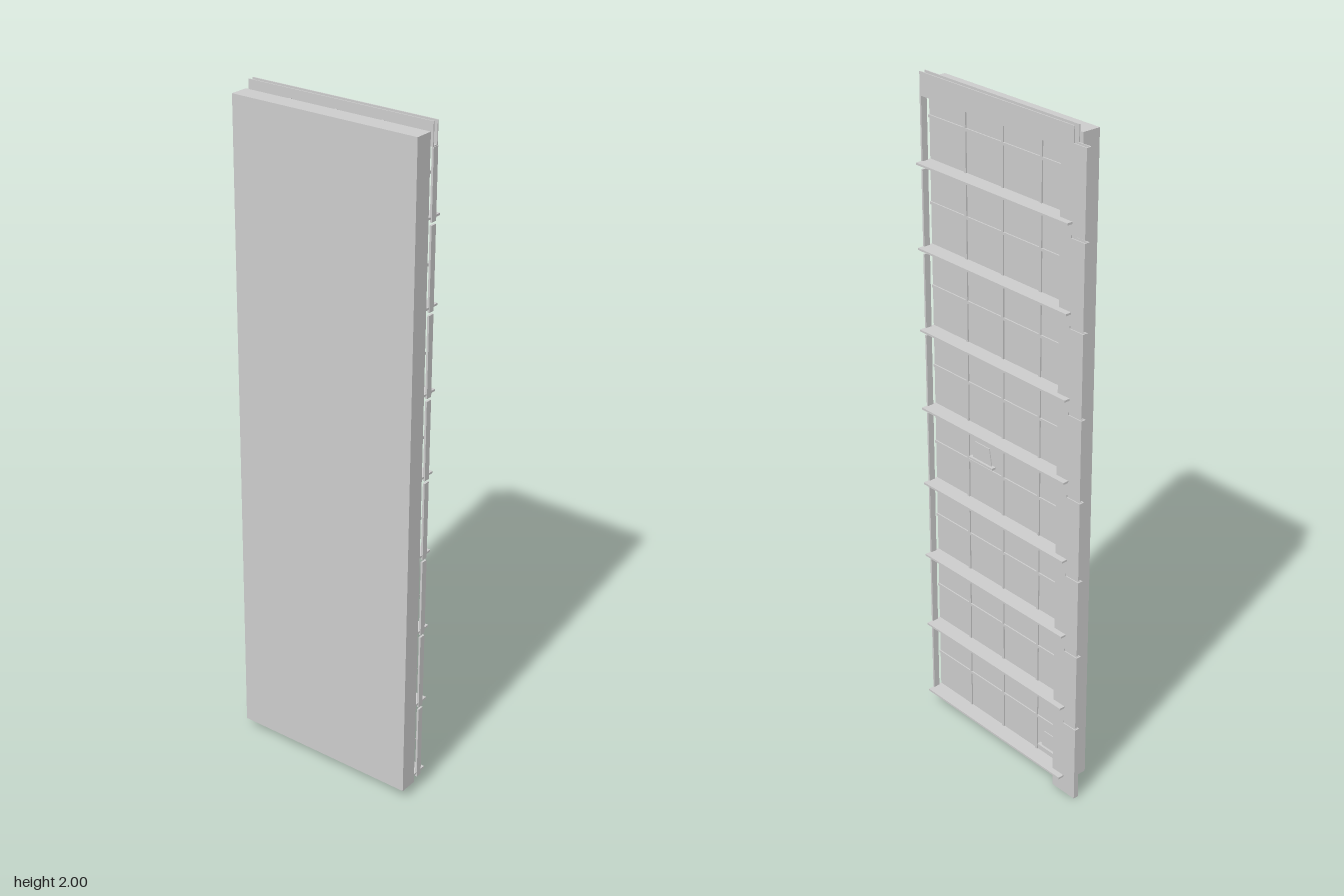
import * as THREE from 'three';

const material = new THREE.MeshStandardMaterial({ color: 0xcccccc, flatShading: true });

// Box given by its minimum and maximum on each axis
function block(parent, name, x0, x1, y0, y1, z0, z1) {
  const mesh = new THREE.Mesh(new THREE.BoxGeometry(x1 - x0, y1 - y0, z1 - z0), material);
  mesh.position.set((x0 + x1) / 2, (y0 + y1) / 2, (z0 + z1) / 2);
  mesh.name = name;
  parent.add(mesh);
  return mesh;
}

function section(parent, name) {
  const group = new THREE.Group();
  group.name = name;
  parent.add(group);
  return group;
}

export function createModel() {
  const model = new THREE.Group();
  model.name = 'wallPanel';
  const L = -0.27, R = 0.313;
  const shelfY = (i) => 0.055 + 0.2425 * i;

  // Solid front slab
  block(model, 'frontSlab', L, R, 0.03, 1.977, -0.003, 0.052);

  // Thin grid of ribs on the back of the slab
  const grid = section(model, 'backGrid');
  for (let i = 1; i < 4; i++) {
    const x = L + ((R - L) * i) / 4;
    block(grid, 'verticalRib', x - 0.004, x + 0.004, 0.03, 1.977, -0.007, -0.003);
  }
  for (let i = 0; i < 8; i++) {
    const y = shelfY(i + 0.5);
    block(grid, 'horizontalRib', L, R, y - 0.004, y + 0.004, -0.007, -0.003);
  }

  // Horizontal shelf fins
  const fins = section(model, 'shelfFins');
  for (let i = 0; i < 8; i++) {
    block(fins, 'shelfFin', L, R, shelfY(i) - 0.003, shelfY(i) + 0.003, -0.052, -0.003);
  }

  // Top rail, a channel open upwards
  const rail = section(model, 'topRail');
  block(rail, 'railBack', L, R, 1.935, 2, -0.034, -0.031);
  block(rail, 'railFront', L, R, 1.935, 2, -0.017, -0.014);
  block(rail, 'railFloor', L, R, 1.935, 1.938, -0.031, -0.017);

  // Side channel in slotted segments on the right edge
  const stud = section(model, 'sideChannel');
  for (let i = 0; i < 8; i++) {
    const y0 = i * 0.245 + (i ? 0.004 : 0), y1 = (i + 1) * 0.245 - 0.004;
    block(stud, 'channelWeb', -0.315, -0.312, y0, y1, -0.034, -0.018);
    block(stud, 'channelFront', -0.312, L, y0, y1, -0.021, -0.018);
    block(stud, 'channelBack', -0.312, -0.265, y0, y1, -0.034, -0.031);
  }
  block(stud, 'channelFlange', -0.265, -0.225, 0, 1.956, -0.034, -0.031);

  // Narrow edge strip on the left, broken just below each fin
  const edge = section(model, 'edgeStrip');
  for (let i = 0; i < 8; i++) {
    const y1 = i < 7 ? shelfY(i + 1) - 0.02 : 1.935;
    block(edge, 'edgeStripSegment', 0.309, 0.315, shelfY(i) - 0.012, y1, -0.033, -0.014);
  }

  // Small trapezoid brackets, each with a ledge
  const outline = new THREE.Shape([[-0.04, 0], [0.04, 0], [0.03, 0.055], [-0.03, 0.055]]
    .map(([x, y]) => new THREE.Vector2(x, y)));
  for (const [x, y] of [[0.105, 0.92], [-0.19, 0.085]]) {
    const bracket = section(model, 'bracket');
    const plate = new THREE.Mesh(
      new THREE.ExtrudeGeometry(outline, { depth: 0.003, bevelEnabled: false }), material);
    plate.name = 'bracketPlate';
    plate.position.set(x, y, -0.009);
    bracket.add(plate);
    block(bracket, 'bracketLedge', x - 0.05, x + 0.05, y - 0.003, y + 0.003, -0.016, -0.003);
  }
  return model;
}
